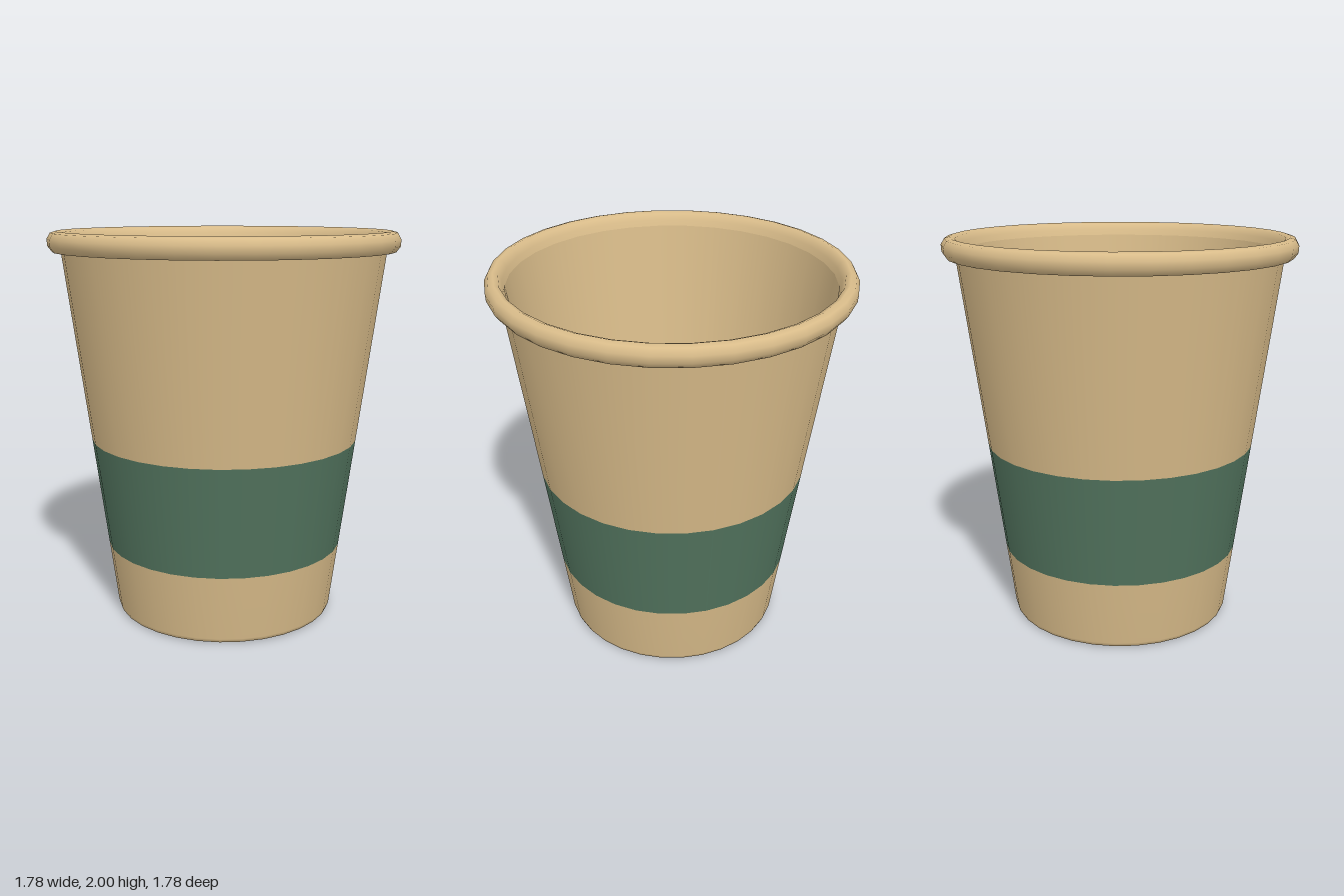
import * as THREE from 'three';

const SIDES = 32;
const BAND_LOW = 0.365, BAND_HIGH = 0.935, WALL_TOP = 1.91;

// radius of the tapered outer and inner walls at a height
const outer = (y) => 0.576 + 0.13 * y;
const inner = (y) => 0.546 + 0.13 * y;

export function createModel() {
  const group = new THREE.Group();
  group.name = 'paperCup';

  const paper = new THREE.MeshStandardMaterial({ color: 0xd9bc8a });
  paper.name = 'kraft paper';
  const green = new THREE.MeshStandardMaterial({ color: 0x52745e });
  green.name = 'green band';

  // profiles run upward for outside faces, downward for inside faces
  function lathe(name, material, points) {
    const profile = points.map(([r, y]) => new THREE.Vector2(r, y));
    const mesh = new THREE.Mesh(new THREE.LatheGeometry(profile, SIDES), material);
    mesh.name = name;
    group.add(mesh);
  }
  const outside = (y) => [outer(y), y];
  const inside = (y) => [inner(y), y];

  // outer wall with a small rounded foot
  lathe('underside', paper, [[0, 0], [0.56, 0]]);
  lathe('lowerWall', paper, [[0.56, 0], [0.572, 0.006], outside(0.025), outside(BAND_LOW)]);
  lathe('outerBand', green, [outside(BAND_LOW), outside(BAND_HIGH)]);
  lathe('upperWall', paper, [outside(BAND_HIGH), outside(WALL_TOP)]);

  // rolled rim
  lathe('rim', paper, [
    [0.82, 1.9], [0.868, 1.9], [0.888, 1.928], [0.89, 1.962],
    [0.873, 1.992], [0.847, 2], [0.823, 1.99], [0.808, 1.96], inside(1.93),
  ]);

  // inner wall, its band, and the floor blending softly into the wall
  lathe('innerUpperWall', paper, [inside(1.93), inside(BAND_HIGH)]);
  lathe('innerBand', green, [inside(BAND_HIGH), inside(BAND_LOW)]);
  lathe('innerFloor', paper, [inside(BAND_LOW), inside(0.03), [0, 0.03]]);

  return group;
}
